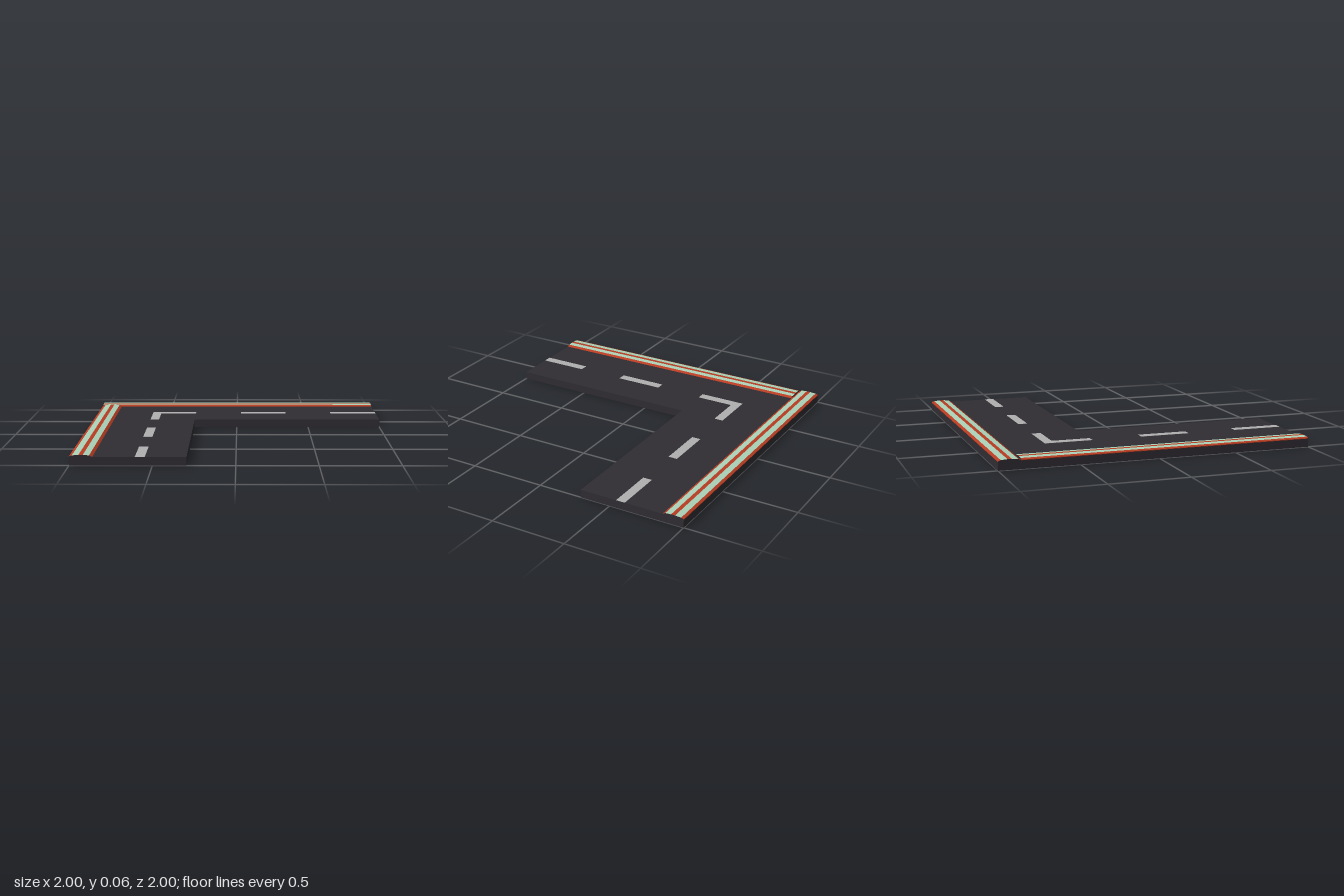
import * as THREE from 'three';

const material = (color) => new THREE.MeshStandardMaterial({ color });

export function createModel() {
  const model = new THREE.Group();
  model.name = 'roadCorner';
  const asphalt = material(0x302d33);
  const red = material(0xb83c22);
  const green = material(0xabd2b8);
  const paint = material(0xb0b0b0);
  const ROAD = 0.052, INNER = -0.295, KERB = 0.14;

  // Extrudes a flat plan outline (x, z) upwards from y0 to y1
  function plan(name, points, y0, y1, mat) {
    const shape = new THREE.Shape(points.map(([x, z]) => new THREE.Vector2(x, -z)));
    const geometry = new THREE.ExtrudeGeometry(shape, { depth: y1 - y0, bevelEnabled: false });
    geometry.rotateX(-Math.PI / 2).translate(0, y0, 0);
    const mesh = new THREE.Mesh(geometry, mat);
    mesh.name = name;
    model.add(mesh);
  }

  // L-shaped slab
  plan('roadSlab', [[-1, 1], [INNER, 1], [INNER, INNER], [1, INNER], [1, -1], [-1, -1]], 0, ROAD, asphalt);

  // Lane markings: a corner piece, then dashes along both arms
  const a = -0.605, b = -0.545, top = ROAD + 0.001;
  plan('cornerMarking', [[a, INNER], [b, INNER], [b, b], [INNER, b], [INNER, a], [a, a]], ROAD - 0.001, top, paint);
  for (const [s, e] of [[0.03, 0.352], [0.675, 1]]) {
    plan('frontArmDash', [[a, e], [b, e], [b, s], [a, s]], ROAD - 0.001, top, paint);
    plan('sideArmDash', [[s, b], [e, b], [e, a], [s, a]], ROAD - 0.001, top, paint);
  }

  // Striped kerb with a low domed profile: [distance from outer edge, height]
  const profile = [[0, 0.056], [0.018, 0.062], [0.058, 0.065], [0.084, 0.065], [0.122, 0.062], [KERB, ROAD]];
  function kerb(name, length) {
    const group = new THREE.Group();
    group.name = name;
    for (let i = 0; i < profile.length - 1; i++) {
      const [d0, y0] = profile[i], [d1, y1] = profile[i + 1];
      const shape = new THREE.Shape();
      shape.moveTo(d0, ROAD - 0.002).lineTo(d1, ROAD - 0.002).lineTo(d1, y1).lineTo(d0, y0);
      const geometry = new THREE.ExtrudeGeometry(shape, { depth: length, bevelEnabled: false });
      const stripe = new THREE.Mesh(geometry, [asphalt, i % 2 ? green : red]);
      stripe.name = i % 2 ? 'greenStripe' : 'redStripe';
      group.add(stripe);
    }
    model.add(group);
    return group;
  }
  kerb('rightKerb', 2 - KERB).position.set(-1, 0, -1 + KERB);
  const back = kerb('backKerb', 2);
  back.rotation.y = -Math.PI / 2;
  back.position.set(1, 0, -1);

  return model;
}
